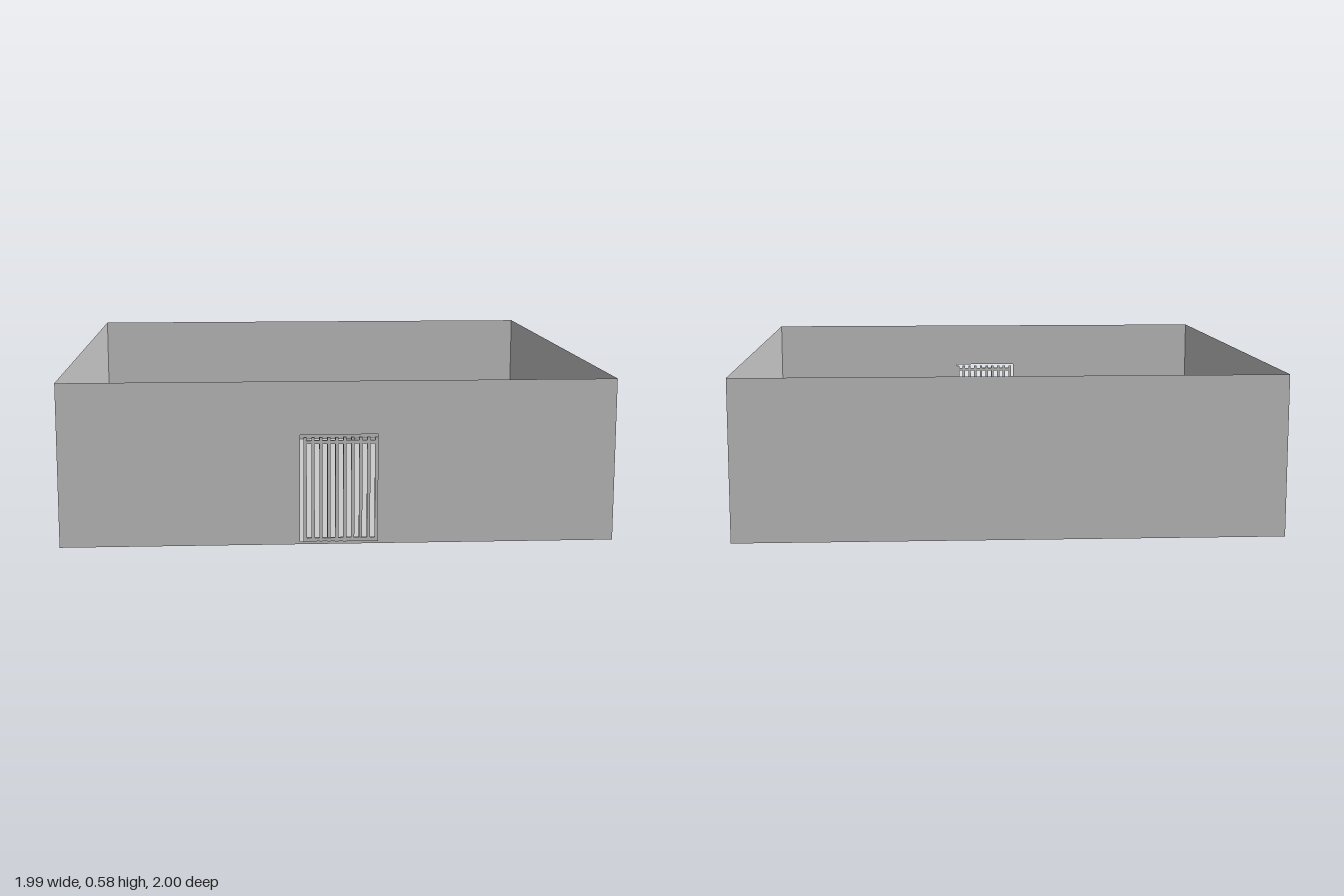
import * as THREE from 'three';

const HX = 0.985, HZ = 0.99, H = 0.585;   // half extents and wall height
const material = new THREE.MeshStandardMaterial({ color: 0xcccccc, side: THREE.DoubleSide });

function add(parent, geometry, name, x = 0, y = 0, z = 0) {
  const mesh = new THREE.Mesh(geometry, material);
  mesh.name = name;
  mesh.position.set(x, y, z);
  parent.add(mesh);
  return mesh;
}

// Thin wall facing local +z, with an optional doorway {left, right, top}
function wallGeometry(half, door) {
  const shape = new THREE.Shape();
  shape.moveTo(-half, 0).lineTo(half, 0).lineTo(half, H).lineTo(-half, H).closePath();
  if (door) {
    const hole = new THREE.Path();
    hole.moveTo(door.left, 0.01).lineTo(door.left, door.top)
      .lineTo(door.right, door.top).lineTo(door.right, 0.01).closePath();
    shape.holes.push(hole);
  }
  return new THREE.ShapeGeometry(shape);
}

// Barred gate: ten square bars and two cross rails; wideGaps lists bars followed by a wider gap
function makeGate(name, { left, right, top }, wideGaps) {
  const gate = new THREE.Group();
  gate.name = name;
  const bars = 10, width = 0.0115, extra = 0.008;
  const bottom = 0.011, height = top - 0.008 - bottom;
  const pitch = (right - left - width - extra * wideGaps.length) / (bars - 1);
  let x = left + width / 2;
  for (let i = 0; i < bars; i++) {
    add(gate, new THREE.BoxGeometry(width, height, 0.01), 'gateBar', x, bottom + height / 2);
    x += pitch + (wideGaps.includes(i + 1) ? extra : 0);
  }
  for (const y of [0.019, top - 0.025]) {
    add(gate, new THREE.BoxGeometry(right - left, 0.012, 0.012), 'gateRail', (left + right) / 2, y);
  }
  return gate;
}

export function createModel() {
  const model = new THREE.Group();
  model.name = 'walledEnclosure';
  // The whole enclosure sits slightly turned
  const yard = new THREE.Group();
  yard.name = 'enclosure';
  yard.rotation.y = 0.005;
  yard.position.z = -0.005;
  model.add(yard);

  // Floor
  const floor = add(yard, new THREE.PlaneGeometry(HX * 2, HZ * 2), 'floor', 0, 0.003, 0);
  floor.rotation.x = -Math.PI / 2;

  // Walls, each with its gate; offset is the gate's distance from the wall plane
  const sides = [
    { name: 'front', angle: 0, half: HX, dist: HZ, offset: 0.006,
      door: { left: -0.138, right: 0.138, top: 0.395 }, gate: [-0.126, 0.138], gaps: [] },
    { name: 'left', angle: Math.PI / 2, half: HZ, dist: HX, offset: 0.001,
      door: { left: -0.14, right: 0.143, top: 0.386 }, gate: [-0.128, 0.137], gaps: [2, 8] },
    { name: 'right', angle: -Math.PI / 2, half: HZ, dist: HX, offset: 0.005,
      door: { left: -0.143, right: 0.14, top: 0.386 }, gate: [-0.141, 0.124], gaps: [5] },
    { name: 'back', angle: Math.PI, half: HX, dist: HZ },
  ];
  for (const s of sides) {
    const side = new THREE.Group();
    side.name = s.name + 'Side';
    side.rotation.y = s.angle;
    add(side, wallGeometry(s.half, s.door), s.name + 'Wall', 0, 0, s.dist);
    if (s.gate) {
      const gate = makeGate(s.name + 'Gate', { left: s.gate[0], right: s.gate[1], top: s.door.top }, s.gaps);
      gate.position.z = s.dist + s.offset;
      side.add(gate);
    }
    yard.add(side);
  }

  // Low skirting that closes the floor to the ground
  const skirt = add(yard, new THREE.BoxGeometry(HX * 2, 0.003, HZ * 2), 'floorBase', 0, 0.0015, 0);
  skirt.scale.set(0.9999, 1, 0.9999);
  return model;
}
